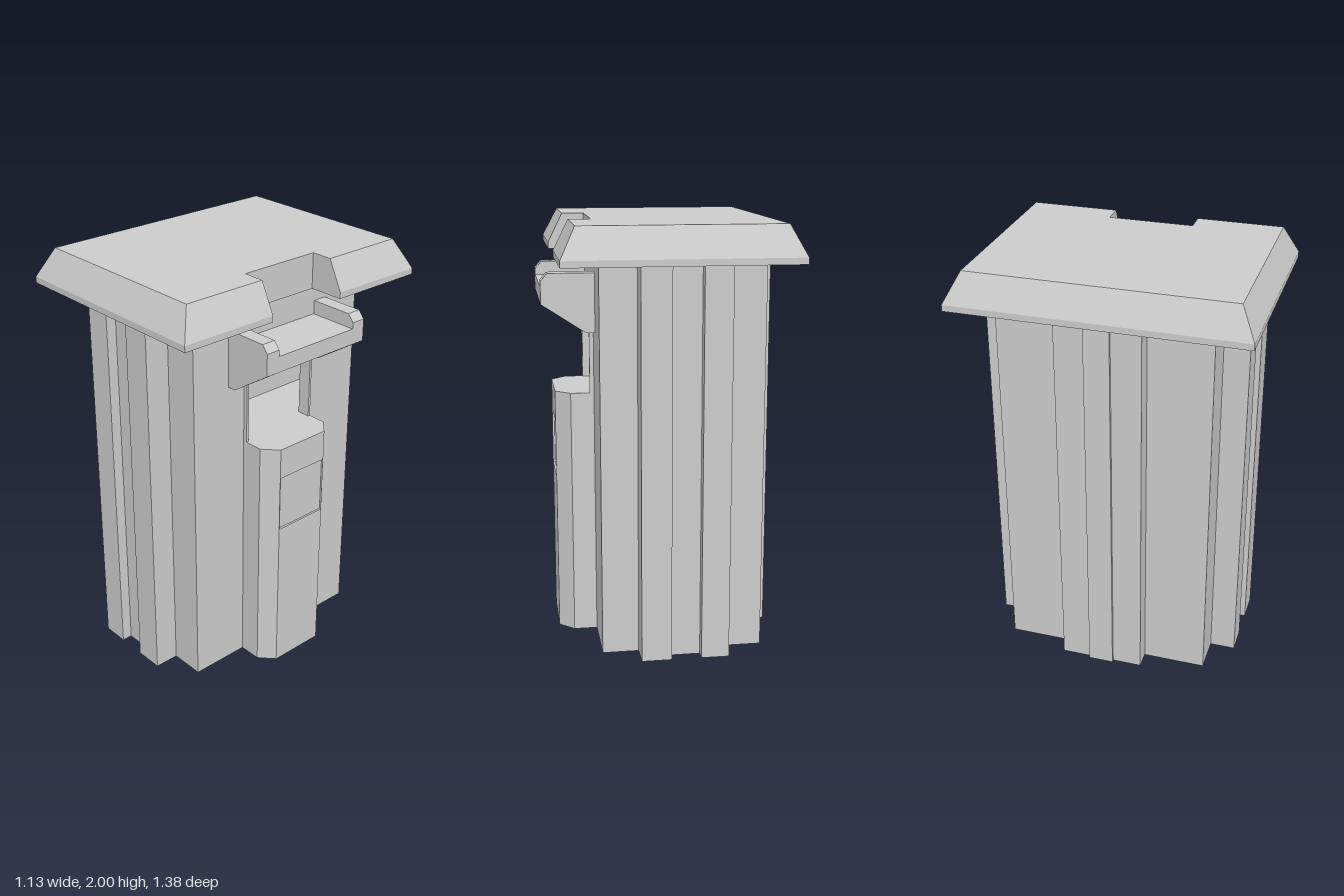
import * as THREE from 'three';

const mat = new THREE.MeshStandardMaterial({ color: 0xcccccc, flatShading: true, side: THREE.DoubleSide });

function add(group, name, geometry) {
  const mesh = new THREE.Mesh(geometry, mat);
  mesh.name = name;
  group.add(mesh);
  return mesh;
}

// Upright sheet wall following a plan path of [x, z] points
function wall(path, y0, y1) {
  const pos = [];
  for (let i = 0; i < path.length - 1; i++) {
    const [ax, az] = path[i], [bx, bz] = path[i + 1];
    pos.push(ax, y0, az, bx, y0, bz, bx, y1, bz, ax, y0, az, bx, y1, bz, ax, y1, az);
  }
  const g = new THREE.BufferGeometry();
  g.setAttribute('position', new THREE.Float32BufferAttribute(pos, 3));
  g.computeVertexNormals();
  return g;
}

const shapeOf = (pts) => new THREE.Shape(pts.map(([a, b]) => new THREE.Vector2(a, b)));
const mirrored = (half) => [...half, ...half.slice().reverse().map(([x, z]) => [x, -z])];

// Horizontal sheet from a plan outline of [x, z] points
function sheet(plan, y) {
  return new THREE.ShapeGeometry(shapeOf(plan.map(([x, z]) => [x, -z])))
    .rotateX(-Math.PI / 2).translate(0, y, 0);
}

// Solid slab from a plan outline
function slab(plan, y, height) {
  return new THREE.ExtrudeGeometry(shapeOf(plan.map(([x, z]) => [x, -z])), { depth: height, bevelEnabled: false })
    .rotateX(-Math.PI / 2).translate(0, y, 0);
}

// Plate facing +x from [z, y] points, spanning x0 to x1
function sidePlate(pts, x0, x1) {
  return new THREE.ExtrudeGeometry(shapeOf(pts.map(([z, y]) => [-z, y])), { depth: x1 - x0, bevelEnabled: false })
    .rotateY(Math.PI / 2).translate(x0, 0, 0);
}

export function createModel() {
  const model = new THREE.Group();
  model.name = 'booth';
  const FLOOR = 1.19, EAVE = 1.83;

  // Stepped hollow body, open below
  const bodyPath = mirrored([
    [0.32, -0.2], [0.32, -0.5], [0.15, -0.5], [0.15, -0.62], [0.01, -0.62], [0.01, -0.57],
    [-0.13, -0.57], [-0.13, -0.62], [-0.26, -0.62], [-0.26, -0.5], [-0.435, -0.5],
    [-0.435, -0.2], [-0.52, -0.2], [-0.52, -0.06], [-0.535, -0.06],
  ]);
  add(model, 'bodyWalls', wall(bodyPath, 0, EAVE));

  // Inner compartment behind the window
  add(model, 'compartmentFloor', sheet(mirrored([
    [0.32, -0.2], [0.32, -0.5], [0.15, -0.5], [0.15, -0.62], [0.015, -0.62],
  ]), FLOOR));
  add(model, 'compartmentBack', wall([[0.015, 0.62], [0.015, -0.62]], FLOOR, EAVE));

  // Wall above the window
  const header = [[0.2, 1.53], [0.13, 1.61], [-0.13, 1.61], [-0.2, 1.53], [-0.2, EAVE], [0.2, EAVE]];
  add(model, 'windowHeader', new THREE.ShapeGeometry(shapeOf(header.map(([z, y]) => [-z, y])))
    .rotateY(Math.PI / 2).translate(0.32, 0, 0));

  // Thin window frame with clipped corners
  add(model, 'windowFrame', sidePlate([
    [0.205, FLOOR], [0.205, 1.53], [0.13, 1.61], [-0.13, 1.61], [-0.205, 1.53], [-0.205, FLOOR],
    [-0.193, FLOOR], [-0.193, 1.523], [-0.124, 1.595], [0.124, 1.595], [0.193, 1.523], [0.193, FLOOR],
  ], 0.275, 0.34));

  // Chamfered pedestal with a shallow recessed panel
  const pedestal = new THREE.Group();
  pedestal.name = 'pedestal';
  model.add(pedestal);
  const plan = [[0.32, 0.205], [0.43, 0.205], [0.5, 0.14], [0.5, -0.14], [0.43, -0.205], [0.32, -0.205]];
  const inset = 0.49, p0 = 0.765, p1 = 1.04;
  add(pedestal, 'pedestalSideLeft', wall(plan.slice(0, 3), 0, FLOOR));
  add(pedestal, 'pedestalSideRight', wall(plan.slice(3), 0, FLOOR));
  add(pedestal, 'pedestalFrontLower', wall(plan.slice(2, 4), 0, p0));
  add(pedestal, 'pedestalFrontUpper', wall(plan.slice(2, 4), p1, FLOOR));
  add(pedestal, 'pedestalPanel', wall([[0.5, 0.139], [inset, 0.139], [inset, -0.139], [0.5, -0.139]], p0, p1));
  for (const y of [p0, p1]) {
    add(pedestal, 'panelLedge', sheet([[inset, 0.139], [0.5, 0.139], [0.5, -0.139], [inset, -0.139]], y));
  }
  add(pedestal, 'pedestalTop', sheet(plan, FLOOR));

  // Canopy shelf, small lamp and two side brackets
  const canopy = new THREE.Group();
  canopy.name = 'canopy';
  model.add(canopy);
  add(canopy, 'canopyShelf', new THREE.BoxGeometry(0.245, 0.075, 0.46)).position.set(0.4425, 1.6625, 0);
  add(canopy, 'canopyLamp', new THREE.BoxGeometry(0.05, 0.012, 0.07)).position.set(0.45, 1.619, 0);
  const bracket = new THREE.ExtrudeGeometry(shapeOf([
    [0.32, 1.49], [0.36, 1.49], [0.565, 1.625], [0.565, 1.73], [0.535, 1.765], [0.32, 1.765],
  ]), { depth: 0.07, bevelEnabled: false });
  for (const z of [-0.297, 0.227]) add(canopy, 'canopyBracket', bracket).position.z = z;

  // Hipped roof with a notch over the canopy
  const outline = mirrored([[0.325, -0.205], [0.5, -0.205], [0.5, -0.69], [-0.57, -0.69]]);
  add(model, 'roofEave', slab(outline, EAVE, 0.03));
  const hip = slab(outline, EAVE + 0.03, 0.14);
  const p = hip.attributes.position;
  for (let i = 0; i < p.count; i++) {
    if (p.getY(i) < 1.95) continue;
    const x = p.getX(i), z = p.getZ(i);
    if (Math.abs(x) > 0.4) p.setX(i, x - Math.sign(x) * 0.07);
    if (Math.abs(z) > 0.5) p.setZ(i, z - Math.sign(z) * 0.07);
  }
  hip.computeVertexNormals();
  add(model, 'roofHip', hip);

  return model;
}
